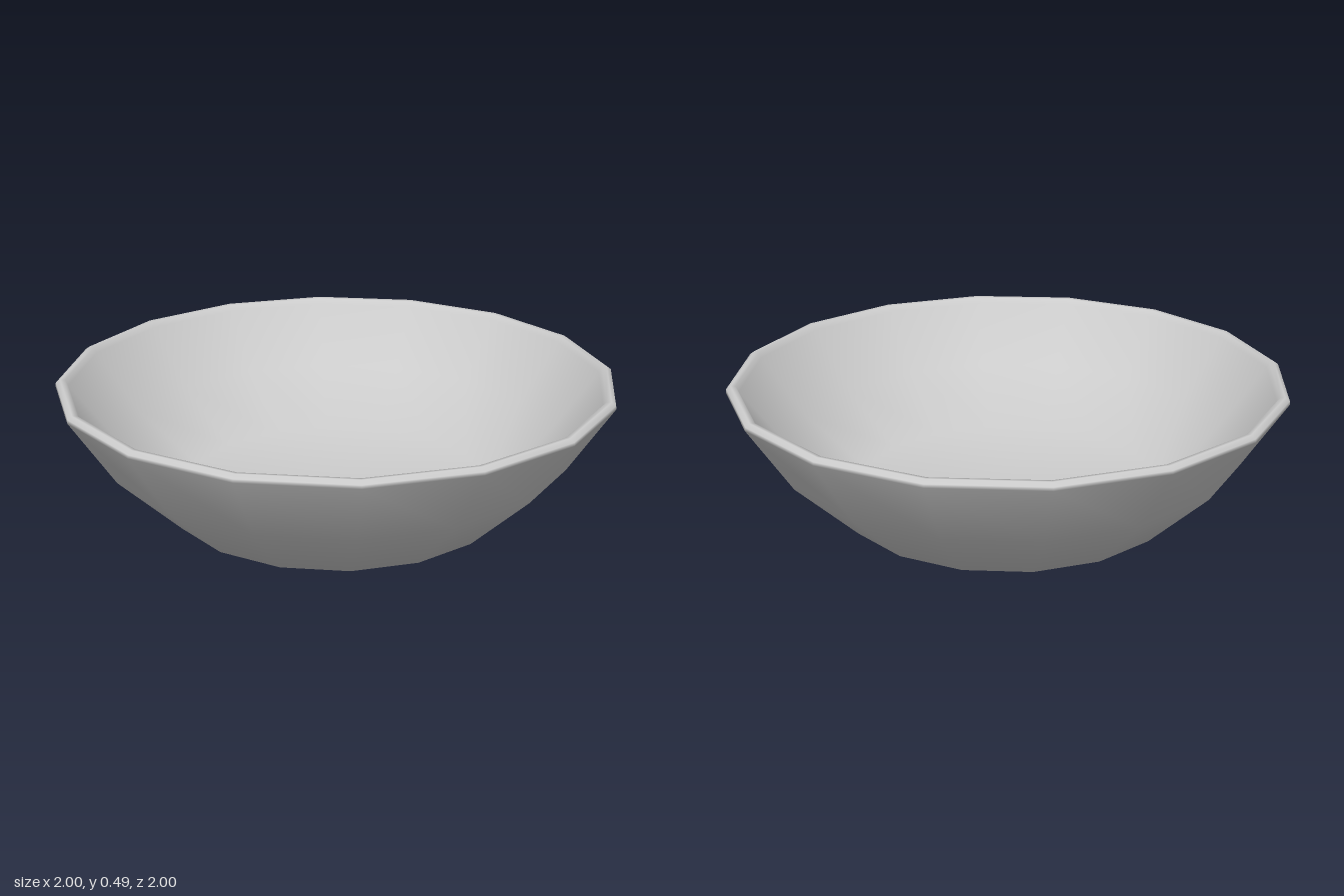
import * as THREE from 'three';

const SIDES = 16;

export function createModel() {
  const group = new THREE.Group();
  group.name = 'bowl';

  // Half section: underside, outer wall, bevelled rim, thicker-based inner wall, inner floor
  const profile = [
    [0, 0], [0.61, 0], [0.84, 0.22], [1, 0.465], [0.998, 0.477],
    [0.982, 0.488], [0.965, 0.486], [0.955, 0.465],
    [0.79, 0.25], [0.56, 0.065], [0, 0.065],
  ].map(([r, y]) => new THREE.Vector2(r, y));

  const bowl = new THREE.Mesh(
    new THREE.LatheGeometry(profile, SIDES),
    new THREE.MeshStandardMaterial({ color: 0xcccccc })
  );
  bowl.name = 'bowlShell';
  group.add(bowl);
  return group;
}
